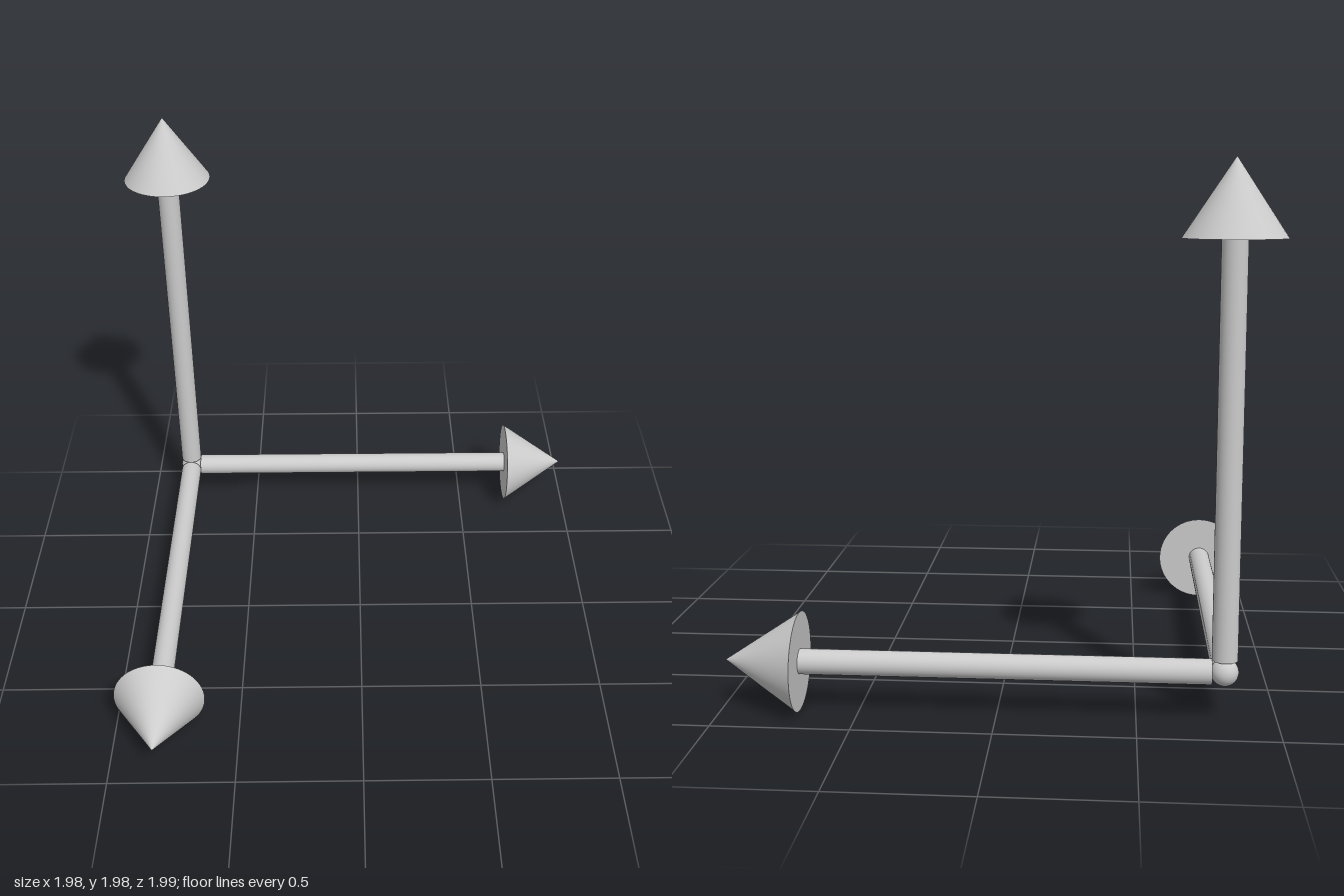
import * as THREE from 'three';

const material = new THREE.MeshStandardMaterial({ color: 0xcccccc });
const SHAFT_R = 0.046, HEAD_R = 0.181, HEAD_H = 0.273, START = 0.045;

// One arrow along +y, with its shaft starting just off the joint
function makeArrow(name, length) {
  const arrow = new THREE.Group();
  arrow.name = name;
  const base = length - HEAD_H;

  const shaft = new THREE.Mesh(
    new THREE.CylinderGeometry(SHAFT_R, SHAFT_R, base - START, 48), material);
  shaft.name = name + 'Shaft';
  shaft.position.y = (base + START) / 2;

  const head = new THREE.Mesh(new THREE.ConeGeometry(HEAD_R, HEAD_H, 64), material);
  head.name = name + 'Head';
  head.position.y = base + HEAD_H / 2;

  arrow.add(shaft, head);
  return arrow;
}

export function createModel() {
  const model = new THREE.Group();
  model.name = 'axisArrows';

  // Everything is placed relative to the shared corner
  const corner = new THREE.Group();
  corner.name = 'corner';
  corner.position.set(-0.81, 0.187, -0.818);
  model.add(corner);

  // Small ball joining the three shafts
  const joint = new THREE.Mesh(new THREE.SphereGeometry(0.05, 32, 24), material);
  joint.name = 'jointBall';
  corner.add(joint);

  const up = makeArrow('upArrow', 1.796);
  const side = makeArrow('sideArrow', 1.796);
  side.rotation.z = -Math.PI / 2;
  const front = makeArrow('frontArrow', 1.813);
  front.rotation.x = Math.PI / 2;
  corner.add(up, side, front);

  return model;
}
